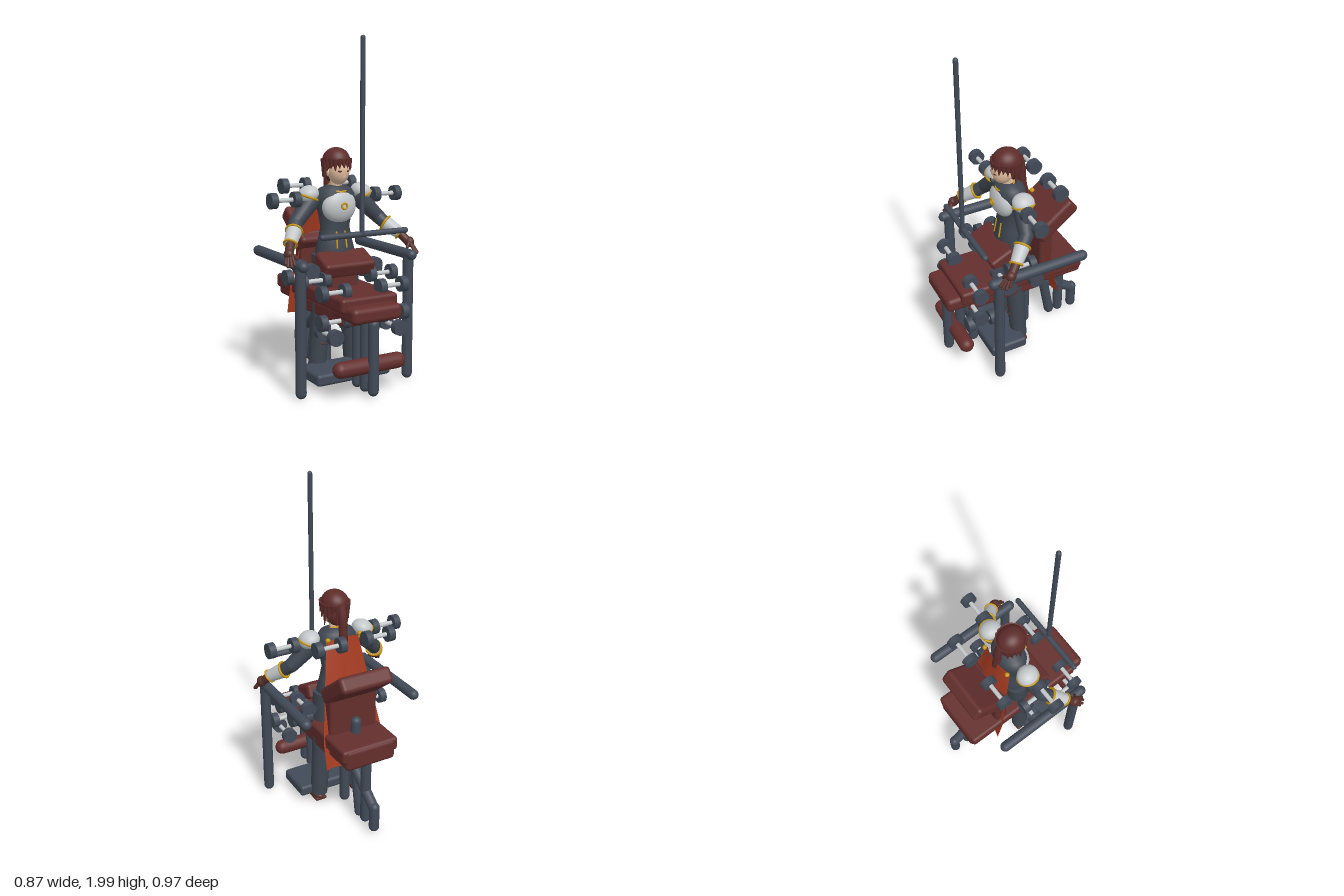
import * as THREE from 'three';
import { RoundedBoxGeometry } from 'three/addons/geometries/RoundedBoxGeometry.js';

const mat = (name, color, side = THREE.FrontSide) => {
  const m = new THREE.MeshStandardMaterial({ color, side });
  m.name = name;
  return m;
};
const V = (x, y, z) => new THREE.Vector3(x, y, z);
const UP = V(0, 1, 0);

export function createModel() {
  const root = new THREE.Group();
  const metal = mat('dark metal', 0x414a57), pad = mat('maroon vinyl', 0x642f2d);
  const silver = mat('silver', 0xc4c8ca), cloth = mat('slate cloth', 0x3f4650);
  const hair = mat('dark red hair', 0x5e2c2a), skin = mat('skin', 0xe2bd9f);
  const gold = mat('gold', 0xc8960f), capeRed = mat('cape red', 0xa63c22, THREE.DoubleSide);
  const leather = mat('brown leather', 0x56302b);

  const add = (name, geo, m, p = [0, 0, 0], r = [0, 0, 0], s = [1, 1, 1], parent = root) => {
    const mesh = new THREE.Mesh(geo, m);
    mesh.name = name;
    mesh.position.set(...p);
    mesh.rotation.set(...r);
    mesh.scale.set(...s);
    parent.add(mesh);
    return mesh;
  };
  // align a y-axis geometry with the line from a to b
  const aim = (mesh, a, b) => {
    mesh.position.copy(a).add(b).multiplyScalar(0.5);
    mesh.quaternion.setFromUnitVectors(UP, b.clone().sub(a).normalize());
    return mesh;
  };
  // rounded bar whose tips reach a and b
  const bar = (name, a, b, r, m = metal) => {
    const A = V(...a), B = V(...b);
    return aim(add(name, new THREE.CapsuleGeometry(r, Math.max(0.001, A.distanceTo(B) - 2 * r), 6, 18), m), A, B);
  };
  // tapered section from a (radius ra) to b (radius rb)
  const taper = (name, a, b, ra, rb, m) => {
    const A = V(...a), B = V(...b);
    return aim(add(name, new THREE.CylinderGeometry(rb, ra, A.distanceTo(B), 20), m), A, B);
  };
  const ball = (name, p, s, m, r) => add(name, new THREE.SphereGeometry(1, 28, 18), m, p, r, s);
  const box = (name, w, h, d, p, m = pad, rx = 0, rad = 0.02) =>
    add(name, new RoundedBoxGeometry(w, h, d, 3, rad), m, p, [rx, 0, 0]);
  const ringAt = (name, a, b, r, t) => {
    const A = V(...a), B = V(...b);
    const g = new THREE.TorusGeometry(r, t, 8, 28).rotateX(Math.PI / 2);
    const mesh = aim(add(name, g, gold), A, B);
    mesh.position.copy(A);
  };

  // upright pole and cross bar
  bar('tallPole', [0, 0.9, 0.305], [0, 2, 0.305], 0.014);
  bar('crossBar', [-0.265, 0.915, 0.3], [0.31, 0.915, 0.3], 0.017);

  // side rails
  for (const s of [1, -1]) {
    bar('railPost', [s * 0.355, 0.01, 0.245], [s * 0.355, 0.79, 0.245], 0.031);
    bar('railTop', [s * 0.355, 0.76, 0.31], [s * 0.355, 0.76, -0.325], 0.031);
  }

  // bench pads
  box('benchSeat', 0.365, 0.085, 0.81, [0, 0.54, -0.005]);
  box('frontPad', 0.32, 0.09, 0.26, [0, 0.497, 0.355], pad, 0, 0.03);
  box('lowerPad', 0.3, 0.09, 0.52, [0, 0.455, 0.1]);
  box('rearPad', 0.325, 0.13, 0.26, [0, 0.513, -0.285], pad, 0, 0.025);
  box('backSupport', 0.31, 0.36, 0.085, [0, 0.7, -0.17]);
  box('inclinePad', 0.33, 0.1, 0.3, [0, 0.885, -0.235], pad, 0.67, 0.025);
  box('armPad', 0.33, 0.09, 0.16, [0, 0.72, 0.115], pad, 0.45);
  box('armPadStem', 0.17, 0.16, 0.06, [0, 0.63, 0.09], pad, 0, 0.015);

  // bench legs
  for (const [z, top] of [[0.43, 0.46], [0.345, 0.46], [0.26, 0.46], [-0.105, 0.45], [-0.355, 0.46]])
    bar('benchLeg', [0, 0.02, z], [0, top, z], 0.031);
  bar('slantedLeg', [0, 0.02, -0.295], [0, 0.47, -0.21], 0.031);
  bar('braceLeg', [0, 0.42, -0.1], [0, 0.155, -0.475], 0.031);
  bar('braceFoot', [0, 0.015, -0.455], [0, 0.21, -0.455], 0.031);
  bar('seatPost', [0, 0.52, -0.235], [0, 0.68, -0.235], 0.031);
  bar('legRoller', [-0.232, 0.188, 0.39], [0.232, 0.188, 0.39], 0.046, pad);
  box('footPlate', 0.49, 0.07, 0.24, [0, 0.085, 0.12], metal, 0, 0.02);

  // dumbbells: centre, axis, length
  const dumbbell = (p, alongZ, len) => {
    const g = new THREE.Group();
    g.name = 'dumbbell';
    g.position.set(...p);
    if (alongZ) g.rotation.x = Math.PI / 2;
    else g.rotation.z = Math.PI / 2;
    add('grip', new THREE.CylinderGeometry(0.013, 0.013, len - 0.04, 16), silver, [0, 0, 0], [0, 0, 0], [1, 1, 1], g);
    for (const e of [1, -1])
      add('weight', new THREE.CylinderGeometry(0.045, 0.045, 0.04, 28), metal, [0, e * (len / 2 - 0.02), 0], [0, 0, 0], [1, 1, 1], g);
    root.add(g);
  };
  for (const s of [1, -1]) {
    dumbbell([s * 0.157, 1.148, -0.205], false, 0.185);
    dumbbell([s * 0.338, 1.095, 0.02], false, 0.185);
    dumbbell([s * 0.225, 0.645, 0.155], false, 0.185);
    dumbbell([s * 0.19, 0.608, 0.32], false, 0.185);
    dumbbell([s * 0.195, 0.447, 0.325], false, 0.18);
    dumbbell([s * 0.21, 0.37, 0.3], true, 0.185);
    dumbbell([s * 0.21, 0.69, 0.035], true, 0.185);
    dumbbell([s * 0.255, 0.64, -0.02], false, 0.13);
  }

  // torso
  const profile = [[0.001, 0.7], [0.11, 0.7], [0.125, 0.77], [0.105, 0.85], [0.09, 0.92], [0.105, 1.0],
    [0.12, 1.07], [0.122, 1.11], [0.1, 1.145], [0.05, 1.165], [0.001, 1.17]].map(p => new THREE.Vector2(...p));
  add('coat', new THREE.LatheGeometry(profile, 36), cloth, [0, 0, 0.003], [0, 0, 0], [1, 1, 0.74]);
  ball('breastplate', [0, 1.045, 0.05], [0.108, 0.1, 0.062], silver);
  add('chestBadge', new THREE.TorusGeometry(0.017, 0.006, 8, 20), gold, [0, 1.05, 0.115]);
  add('collarTrim', new THREE.TorusGeometry(0.055, 0.007, 8, 28), gold, [0, 1.148, 0.03], [Math.PI / 2 + 0.35, 0, 0]);
  for (const s of [1, -1]) {
    bar('coatTrim', [s * 0.032, 0.8, 0.088], [s * 0.028, 0.9, 0.07], 0.005, gold);
    ball('capeClasp', [s * 0.105, 1.132, -0.09], [0.014, 0.014, 0.014], gold);
  }

  // head
  taper('neck', [0, 1.13, 0.005], [0, 1.21, 0.02], 0.038, 0.035, skin);
  ball('face', [0, 1.25, 0.045], [0.062, 0.082, 0.068], skin);
  add('nose', new THREE.ConeGeometry(0.01, 0.03, 8), skin, [0, 1.232, 0.114], [0.35, 0, 0]);
  for (const s of [1, -1]) {
    ball('eye', [s * 0.025, 1.25, 0.105], [0.011, 0.006, 0.004], hair, [0, s * 0.4, 0]);
    ball('ear', [s * 0.063, 1.24, 0.03], [0.009, 0.02, 0.014], skin);
  }
  ball('hairCap', [0, 1.307, 0.018], [0.08, 0.076, 0.087], hair);
  ball('hairBack', [0, 1.262, -0.015], [0.07, 0.085, 0.05], hair);
  for (let i = 0; i < 20; i++) {
    const a = i / 20 * Math.PI * 2, f = Math.cos(a) > 0.3;
    const c = Math.cos(a), n = Math.sin(a);
    const low = f ? 1.252 + 0.012 * (i % 2) : 1.19 + 0.02 * (i % 3);
    taper('hairLock', [n * 0.07, 1.315, 0.02 + c * 0.075], [n * 0.082, low, 0.025 + c * 0.083], 0.021, 0.002, hair);
  }
  const tail = new THREE.CatmullRomCurve3([V(0, 1.32, -0.055), V(0, 1.24, -0.075), V(0, 1.16, -0.08), V(0, 1.07, -0.09)]);
  const tailGeo = new THREE.TubeGeometry(tail, 16, 0.025, 12);
  add('ponytail', tailGeo, hair);

  // arms, gauntlets and hands
  for (const s of [1, -1]) {
    const P = (x, y, z) => [s * x, y, z];
    const sh = P(0.14, 1.1, 0), el = P(0.275, 0.965, 0.035), c0 = P(0.305, 0.925, 0.075),
      c1 = P(0.365, 0.868, 0.145), wr = P(0.38, 0.85, 0.16);
    taper('upperArm', sh, el, 0.056, 0.042, cloth);
    ball('elbow', el, [0.042, 0.042, 0.042], cloth);
    taper('forearm', el, c0, 0.042, 0.038, cloth);
    taper('bracer', c0, c1, 0.046, 0.036, silver);
    ringAt('bracerTrim', c0, c1, 0.046, 0.007);
    ringAt('bracerTrim', c1, wr, 0.037, 0.006);
    ball('shoulderGuard', P(0.176, 1.118, 0.003), [0.062, 0.05, 0.066], silver, [0, 0, -s * 0.35]);
    add('shoulderTrim', new THREE.TorusGeometry(0.062, 0.007, 8, 28), gold, P(0.178, 1.1, 0.003), [Math.PI / 2, s * 0.35, 0]);
    taper('wrist', c1, P(0.392, 0.825, 0.185), 0.026, 0.025, leather);
    ball('palm', P(0.398, 0.82, 0.193), [0.028, 0.032, 0.032], leather);
    [[0.43, 0.767, 0.215], [0.428, 0.757, 0.24], [0.412, 0.757, 0.258], [0.395, 0.767, 0.262], [0.36, 0.79, 0.225]]
      .forEach((t, i) => bar('finger', P(0.41 - i * 0.007, 0.825, 0.19 + i * 0.006), P(...t), 0.009, leather));

    // legs and boots
    taper('thigh', P(0.075, 0.76, 0.005), P(0.095, 0.42, 0.01), 0.072, 0.058, cloth);
    taper('shin', P(0.095, 0.42, 0.01), P(0.125, 0.06, 0), 0.058, 0.052, cloth);
    ball('boot', P(0.13, 0.045, 0.025), [0.042, 0.028, 0.075], leather);
    box('bootSole', 0.075, 0.02, 0.13, P(0.13, 0.03, 0.02), leather, 0, 0.008);
    for (let i = 0; i < 2; i++)
      ball('kneePatch', P(0.11, 0.3 - i * 0.06, 0.06), [0.028, 0.006, 0.005], leather, [0, 0, s * 0.25]);
  }

  // cape: a flared sheet hanging behind the shoulders
  const cape = new THREE.PlaneGeometry(1, 1, 16, 16), pos = cape.attributes.position;
  for (let i = 0; i < pos.count; i++) {
    const u = pos.getX(i) * 2, t = 0.5 - pos.getY(i);
    const half = 0.105 + 0.09 * Math.min(1, t * 1.3);
    pos.setXYZ(i, u * half, 1.135 - 0.765 * t - 0.02 * u * u * (1 - t),
      -0.095 - 0.135 * t + 0.025 * u * u * (1 - t) + 0.008 * t * Math.cos(u * 9));
  }
  cape.computeVertexNormals();
  add('cape', cape, capeRed);

  return root;
}
